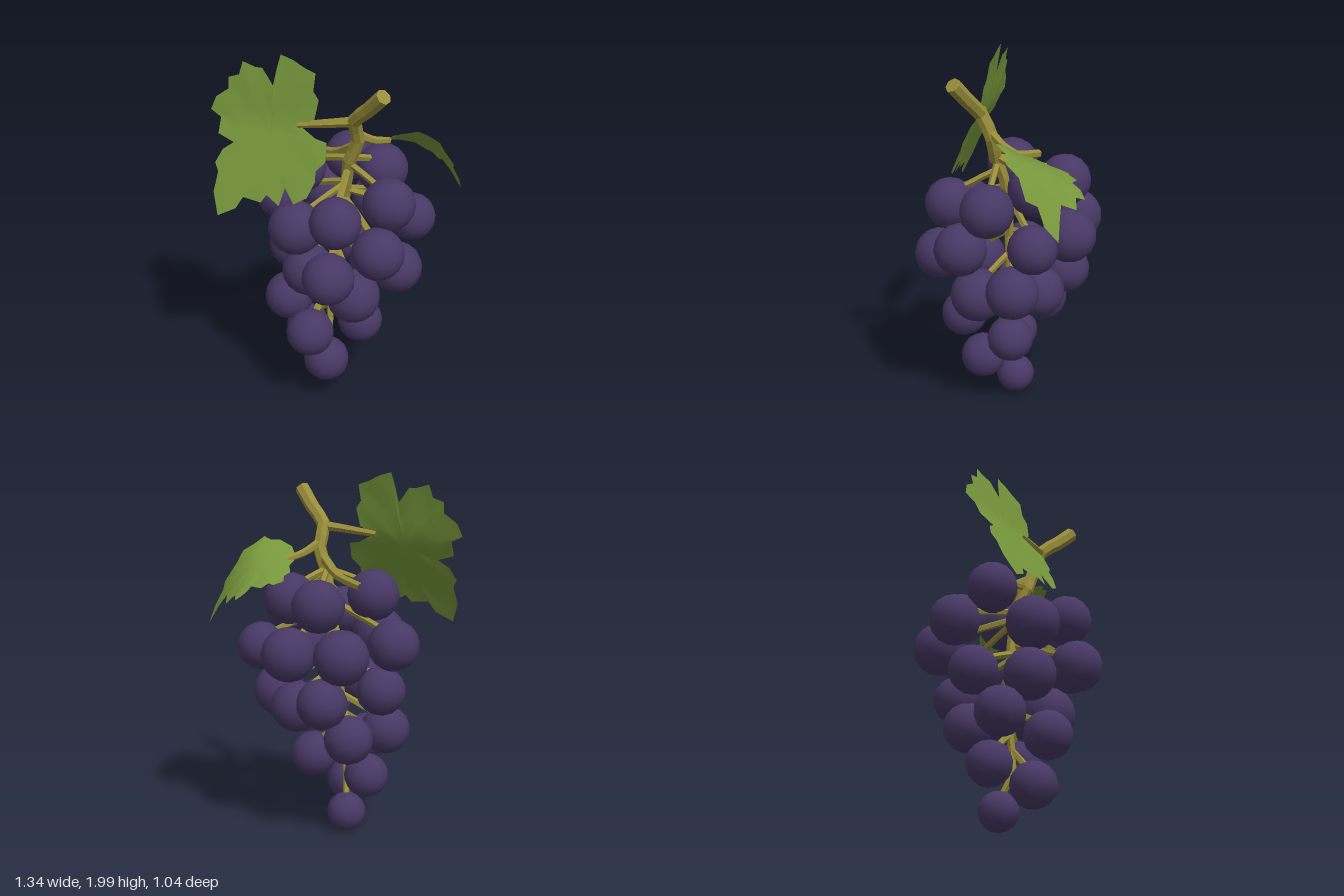
import * as THREE from 'three';

const mat = (name, color) => {
  const m = new THREE.MeshStandardMaterial({ color });
  m.name = name;
  return m;
};
const V = (p) => new THREE.Vector3(...p);

// x, y, z, radius of each grape, from the top of the bunch down
const GRAPES = [
  [-0.20, 1.35, -0.03, 0.142], [0.04, 1.32, -0.30, 0.142], [0.24, 1.33, -0.12, 0.142],
  [0.30, 1.235, 0.13, 0.144], [0.04, 1.20, 0.32, 0.139], [-0.34, 1.11, -0.19, 0.139],
  [-0.19, 1.10, 0.20, 0.148], [-0.10, 1.07, -0.375, 0.148], [0.20, 1.06, -0.31, 0.148],
  [0.41, 1.06, -0.10, 0.132], [0.26, 1.01, 0.27, 0.143], [0.01, 0.90, 0.38, 0.141],
  [-0.26, 0.84, -0.11, 0.135], [-0.13, 0.83, 0.16, 0.145], [0.02, 0.80, -0.31, 0.137],
  [0.34, 0.79, 0.00, 0.144], [0.20, 0.74, -0.15, 0.142], [0.12, 0.69, 0.18, 0.150],
  [-0.26, 0.585, 0.04, 0.137], [-0.10, 0.58, -0.20, 0.135], [-0.11, 0.48, 0.25, 0.132],
  [0.14, 0.43, 0.00, 0.128], [-0.17, 0.34, -0.05, 0.124], [-0.035, 0.245, 0.145, 0.128],
  [-0.055, 0.115, -0.04, 0.109],
];

// Tapered limb along a smooth path
function limb(points, r0, r1, sides = 6, steps = 6) {
  const curve = new THREE.CatmullRomCurve3(points.map(V));
  const geo = new THREE.TubeGeometry(curve, steps, 1, sides);
  const pos = geo.attributes.position, v = new THREE.Vector3();
  for (let i = 0; i < pos.count; i++) {
    const t = Math.floor(i / (sides + 1)) / steps;
    const c = curve.getPointAt(t);
    v.fromBufferAttribute(pos, i).sub(c).multiplyScalar(r0 + (r1 - r0) * t).add(c);
    pos.setXYZ(i, v.x, v.y, v.z);
  }
  geo.computeVertexNormals();
  return geo;
}

// Leaf sheet: rings shrinking from a jagged outline to a centre, bent by a rule
function leaf(outline, centre, place) {
  const n = outline.length, rings = [1, 0.75, 0.5, 0.25], verts = [], idx = [];
  rings.forEach((s, k) => outline.forEach(([a, b], i) => {
    const ripple = k === 1 && i % 4 < 2 ? 0.006 : 0;
    verts.push(...place(centre[0] + (a - centre[0]) * s, centre[1] + (b - centre[1]) * s, ripple));
  }));
  verts.push(...place(...centre, 0));
  const last = (rings.length - 1) * n;
  for (let i = 0; i < n; i++) {
    const j = (i + 1) % n;
    for (let a = i, b = j; a < last; a += n, b += n) idx.push(a, b, b + n, a, b + n, a + n);
    idx.push(last + i, last + j, last + n);
  }
  const geo = new THREE.BufferGeometry();
  geo.setAttribute('position', new THREE.Float32BufferAttribute(verts, 3));
  geo.setIndex(idx);
  geo.computeVertexNormals();
  return geo;
}

export function createModel() {
  const model = new THREE.Group();
  model.name = 'grapeBunch';
  const purple = mat('grapePurple', 0x483865);
  const olive = mat('stemOlive', 0x988d3a);
  olive.flatShading = true;
  const green = mat('leafGreen', 0x76963b);
  green.side = THREE.DoubleSide;
  const add = (name, geo, material, parent = model) => {
    const mesh = new THREE.Mesh(geo, material);
    mesh.name = name;
    parent.add(mesh);
    return mesh;
  };

  // Grapes, each turned differently
  const grapes = new THREE.Group();
  grapes.name = 'grapes';
  model.add(grapes);
  const ball = new THREE.IcosahedronGeometry(1, 2);
  GRAPES.forEach(([x, y, z, r], i) => {
    const g = add('grape', ball, purple, grapes);
    g.position.set(x, y, z);
    g.scale.setScalar(r);
    g.rotation.set(i * 1.3, i * 2.1, i * 0.7);
  });

  // Main stem with its cut end, and the stalk inside the bunch
  const tip = [0.275, 1.895, 0.295], node = [0.115, 1.70, 0.15];
  add('mainStem', limb([tip, [0.2, 1.8, 0.225], node, [0.13, 1.59, 0.1], [0.08, 1.45, 0.075]], 0.042, 0.036, 7, 8), olive);
  const cut = add('stemCutEnd', new THREE.CircleGeometry(0.042, 7), olive);
  cut.position.set(...tip);
  cut.lookAt(V(tip).add(new THREE.Vector3(0.075, 0.095, 0.07)));
  const core = [[0.08, 1.47, 0.075], [0.06, 1.3, 0.02], [0.02, 1.0, 0],
    [-0.03, 0.68, 0], [-0.03, 0.4, 0.03], [-0.05, 0.2, 0.04]];
  add('innerStalk', limb(core, 0.034, 0.016, 6, 10), olive);
  add('shoulderBranch', limb([[0.11, 1.54, 0.09], [0, 1.45, -0.03], [-0.16, 1.41, -0.17]], 0.028, 0.024), olive);

  // Small stalks from the inner stalk to every grape
  const coreAt = (y) => {
    let i = 0;
    while (i < core.length - 2 && core[i + 1][1] > y) i++;
    const t = THREE.MathUtils.clamp((core[i][1] - y) / (core[i][1] - core[i + 1][1]), 0, 1);
    return V(core[i]).lerp(V(core[i + 1]), t).toArray();
  };
  GRAPES.forEach(([x, y, z]) => {
    const s = coreAt(y + 0.2);
    const mid = [(s[0] + x) / 2, (s[1] + y) / 2 + 0.03, (s[2] + z) / 2];
    add('grapeStalk', limb([s, mid, [x, y + 0.05, z]], 0.02, 0.018, 5, 3), olive);
  });

  // Large leaf facing forward, its lower half swinging out to the front
  const bigLeaf = [
    [-0.17, 1.66], [-0.09, 1.70], [-0.07, 1.80], [-0.10, 1.84], [-0.09, 1.93], [-0.15, 1.95],
    [-0.21, 1.98], [-0.28, 2.0], [-0.30, 1.93], [-0.32, 1.84], [-0.38, 1.92], [-0.42, 1.92],
    [-0.49, 1.94], [-0.51, 1.87], [-0.57, 1.85], [-0.57, 1.79], [-0.64, 1.74], [-0.67, 1.67],
    [-0.61, 1.64], [-0.62, 1.56], [-0.53, 1.53], [-0.59, 1.49], [-0.63, 1.42], [-0.61, 1.38],
    [-0.63, 1.28], [-0.60, 1.17], [-0.50, 1.22], [-0.46, 1.28], [-0.36, 1.27], [-0.33, 1.31],
    [-0.26, 1.27], [-0.23, 1.36], [-0.18, 1.29], [-0.11, 1.33], [-0.07, 1.41], [-0.07, 1.46],
    [-0.02, 1.51], [-0.02, 1.60], [-0.08, 1.61]];
  add('largeLeaf', leaf(bigLeaf, [-0.33, 1.6], (x, y, d) =>
    [x, y, 0.135 + 0.28 * (x + 0.17) - (y < 1.66 ? 0.48 : 0.22) * (y - 1.66) + d]), green);
  add('largeLeafStalk', limb([node, [0.0, 1.685, 0.145], [-0.18, 1.66, 0.13]], 0.028, 0.018), olive);

  // Small leaf, domed, twisted and drooping outward
  const smallLeaf = [
    [0.24, -0.03], [0.25, -0.09], [0.23, -0.15], [0.25, -0.20], [0.24, -0.25], [0.28, -0.30],
    [0.31, -0.29], [0.34, -0.33], [0.40, -0.30], [0.42, -0.34], [0.47, -0.36], [0.49, -0.31],
    [0.54, -0.31], [0.56, -0.23], [0.61, -0.22], [0.67, -0.21], [0.66, -0.14], [0.62, -0.11],
    [0.63, -0.05], [0.57, -0.02], [0.55, 0.04], [0.49, 0.04], [0.44, 0.09], [0.40, 0.07],
    [0.35, 0.09], [0.28, 0.08], [0.25, 0.03]].reverse();
  add('smallLeaf', leaf(smallLeaf, [0.42, -0.11], (x, z, d) =>
    [x, 1.585 + (0.1 + 1.15 * x) * z - (x > 0.43 ? 3.6 : 1.4) * (x - 0.43) ** 2 + d, z]), green);
  add('smallLeafStalk', limb([[0.13, 1.61, 0.1], [0.2, 1.56, 0.04], [0.28, 1.53, -0.04]], 0.026, 0.018), olive);

  return model;
}
